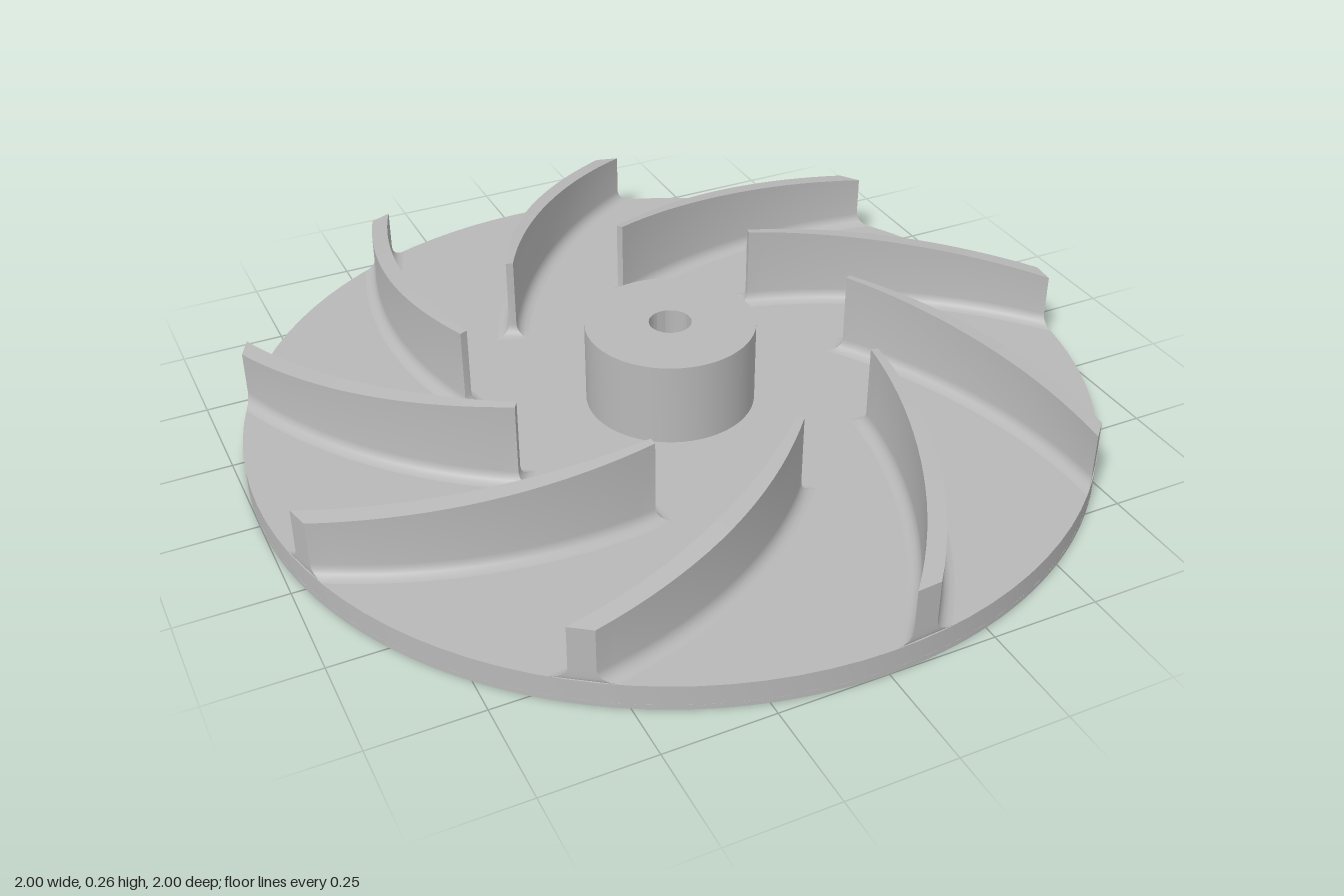
import * as THREE from 'three';
import { toCreasedNormals } from 'three/addons/utils/BufferGeometryUtils.js';

const BLADES = 9, SEGMENTS = 96;
const BORE = 0.05, FLOOR = 0.06, TOP = 0.262, ENGRAVING = 0.012;

// Ring-shaped solid turned from a closed radius/height profile
function turned(points) {
  const profile = points.map(([r, y]) => new THREE.Vector2(r, y));
  return toCreasedNormals(new THREE.LatheGeometry(profile, SEGMENTS), 0.6);
}

// Curved arrow outline, running from its tail towards smaller angles
function arrowPath(tailDegrees) {
  const at = (r, degrees) => {
    const a = THREE.MathUtils.degToRad(tailDegrees - degrees);
    return new THREE.Vector2(r * Math.cos(a), r * Math.sin(a));
  };
  const points = [];
  for (let i = 0; i <= 12; i++) points.push(at(0.8, i * 4));
  points.push(at(0.87, 47), at(0.76, 62), at(0.65, 47));
  for (let i = 12; i >= 0; i--) points.push(at(0.72, i * 4));
  return new THREE.Path(points);
}

// Underside layer, cut through by the bore and three arrows
function engravedLayer() {
  const shape = new THREE.Shape().absarc(0, 0, 1, 0, Math.PI * 2);
  shape.holes.push(new THREE.Path().absarc(0, 0, BORE, 0, Math.PI * 2, true));
  for (const tail of [40, 160, 280]) shape.holes.push(arrowPath(tail));
  const geometry = new THREE.ExtrudeGeometry(shape, {
    depth: ENGRAVING, bevelEnabled: false, curveSegments: SEGMENTS,
  });
  geometry.rotateX(Math.PI / 2).translate(0, ENGRAVING, 0);
  return toCreasedNormals(geometry, 0.6);
}

// Swept blade: filleted section along an arc, trimmed at the disc rim
function bladeGeometry() {
  const R = 1.17, heading = THREE.MathUtils.degToRad(54), fillet = 0.028, steps = 18;
  const cx = 0.478 - R * Math.sin(heading), cz = R * Math.cos(heading);
  const point = (s, offset) => {
    const h = heading + s / R;
    return [cx + (R - offset) * Math.sin(h), cz - (R - offset) * Math.cos(h)];
  };
  const halfWidth = (t) => 0.009 + 0.011 * Math.sin(Math.min(1, 1.6 * t) * Math.PI / 2);

  // Section: side, spread of the fillet, height (null = sloping top edge)
  const half = [];
  for (let k = 0; k <= 4; k++) {
    const a = (k / 4) * Math.PI / 2;
    half.push([fillet * (1 - Math.sin(a)), FLOOR + fillet * (1 - Math.cos(a))]);
  }
  half.push([0, null]);
  const section = [
    ...half.map(([e, y]) => [-1, e, y]),
    ...half.slice().reverse().map(([e, y]) => [1, e, y]),
  ];
  const n = section.length;

  // Arc length at which a given offset meets the rim
  const rimLength = (offset) => {
    let lo = 0.3, hi = 1.1;
    for (let i = 0; i < 30; i++) {
      const mid = (lo + hi) / 2;
      if (Math.hypot(...point(mid, offset)) < 0.9985) lo = mid; else hi = mid;
    }
    return lo;
  };

  const positions = [], index = [];
  for (let i = 0; i <= steps; i++) {
    const t = i / steps;
    for (const [side, spread, height] of section) {
      const end = rimLength(side * (halfWidth(1) + spread));
      const s = THREE.MathUtils.lerp(-spread, end, t);
      const [x, z] = point(s, side * (halfWidth(t) + spread));
      const slope = TOP - (Math.hypot(x, z) - 0.478) * 0.134;
      positions.push(x, height ?? slope, z);
    }
  }
  for (let i = 0; i < steps; i++) {
    for (let j = 0; j < n - 1; j++) {
      const a = i * n + j, b = a + n;
      index.push(a, a + 1, b, b, a + 1, b + 1);
    }
  }
  // Inner and outer ends
  const last = steps * n;
  for (let j = 0; j < n / 2 - 1; j++) {
    const p = j, q = n - 1 - j;
    index.push(p, q, p + 1, p + 1, q, q - 1);
    index.push(last + p, last + p + 1, last + q, last + p + 1, last + q - 1, last + q);
  }
  const geometry = new THREE.BufferGeometry();
  geometry.setAttribute('position', new THREE.Float32BufferAttribute(positions, 3));
  geometry.setIndex(index);
  return toCreasedNormals(geometry, 0.6);
}

export function createModel() {
  const model = new THREE.Group();
  model.name = 'impeller';
  const grey = new THREE.MeshStandardMaterial({ color: 0xb8b8b8 });
  grey.name = 'plain grey';

  const add = (name, geometry) => {
    const mesh = new THREE.Mesh(geometry, grey);
    mesh.name = name;
    model.add(mesh);
    return mesh;
  };

  add('engravedUnderside', engravedLayer());
  add('disc', turned([
    [BORE, ENGRAVING], [1, ENGRAVING], [1, FLOOR], [BORE, FLOOR], [BORE, ENGRAVING],
  ]));
  add('hub', turned([[0.2, FLOOR], [0.2, TOP], [BORE, TOP], [BORE, FLOOR]]));

  // Ring of identical blades
  const blade = bladeGeometry();
  for (let i = 0; i < BLADES; i++) {
    add(`blade${i + 1}`, blade).rotation.y = (i / BLADES) * Math.PI * 2;
  }
  return model;
}
